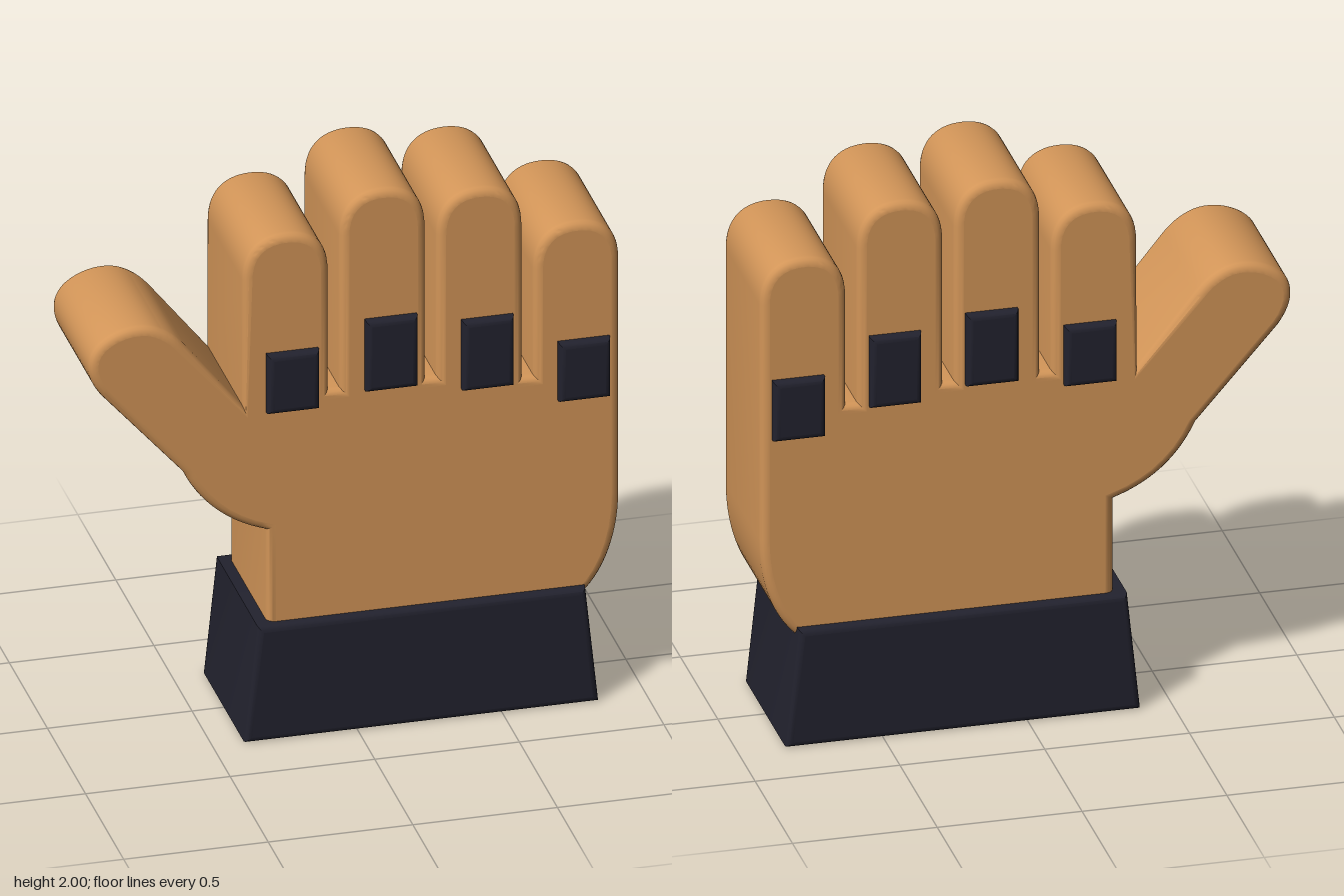
import * as THREE from 'three';
import { toCreasedNormals } from 'three/addons/utils/BufferGeometryUtils.js';

const leather = new THREE.MeshStandardMaterial({ color: 0xd29558 });
leather.name = 'tan leather';
const rubber = new THREE.MeshStandardMaterial({ color: 0x22222e });
rubber.name = 'dark rubber';

// Extrude an outline symmetrically about z = 0, with rounded front and back rims
function slab(shape, halfDepth, bevel, steps) {
  const raw = new THREE.ExtrudeGeometry(shape, {
    depth: 2 * (halfDepth - bevel), curveSegments: 14,
    bevelThickness: bevel, bevelSize: bevel, bevelOffset: -bevel, bevelSegments: steps,
  });
  raw.translate(0, 0, -(halfDepth - bevel));
  const geometry = toCreasedNormals(raw, 0.7);
  // Keep the front and back faces perfectly flat
  const p = geometry.attributes.position, n = geometry.attributes.normal;
  for (let i = 0; i < p.count; i += 3) {
    const z = p.getZ(i);
    const flat = Math.abs(z) > halfDepth - 1e-4 &&
      Math.abs(p.getZ(i + 1) - z) < 1e-5 && Math.abs(p.getZ(i + 2) - z) < 1e-5;
    if (flat) for (let k = 0; k < 3; k++) n.setXYZ(i + k, 0, 0, Math.sign(z));
  }
  return geometry;
}

function polygon(points) {
  return new THREE.Shape(points.map(([x, y]) => new THREE.Vector2(x, y)));
}

// Fingers: left x, right x, tip height, height of the web on the right
const fingers = [
  [-0.387, -0.09, 1.875, 1.27],
  [-0.052, 0.245, 2.0, 1.27],
  [0.283, 0.58, 1.96, 1.23],
  [0.618, 0.915, 1.79, 0.76],
];

function handShape() {
  const s = new THREE.Shape();
  // wrist and base of the thumb
  s.moveTo(0.785, 0.39);
  s.lineTo(-0.305, 0.39);
  s.lineTo(-0.305, 0.77);
  s.bezierCurveTo(-0.43, 0.81, -0.53, 0.89, -0.59, 1.02);
  // thumb
  s.lineTo(-0.875, 1.345);
  s.bezierCurveTo(-0.93, 1.42, -0.935, 1.49, -0.885, 1.54);
  s.bezierCurveTo(-0.83, 1.59, -0.74, 1.605, -0.68, 1.575);
  s.bezierCurveTo(-0.63, 1.55, -0.61, 1.525, -0.585, 1.495);
  s.lineTo(-0.387, 1.245);
  // fingers and the webs between them
  fingers.forEach(([a, b, top, web], i) => {
    const mid = (a + b) / 2;
    s.lineTo(a, top - 0.16);
    s.bezierCurveTo(a, top - 0.05, a + 0.06, top, mid, top);
    s.bezierCurveTo(b - 0.06, top, b, top - 0.05, b, top - 0.16);
    s.lineTo(b, web);
    if (i < 3) s.lineTo(fingers[i + 1][0], web);
  });
  // outer heel of the palm
  s.bezierCurveTo(0.915, 0.6, 0.865, 0.46, 0.785, 0.39);
  return s;
}

// Knuckle pads: left, right, bottom, top
const pads = [
  [-0.31, -0.13, 1.22, 1.44],
  [0.03, 0.21, 1.26, 1.525],
  [0.365, 0.543, 1.22, 1.48],
  [0.698, 0.877, 1.135, 1.355],
];

export function createModel() {
  const group = new THREE.Group();
  group.name = 'glove';
  const add = (name, geometry, material) => {
    const mesh = new THREE.Mesh(geometry, material);
    mesh.name = name;
    group.add(mesh);
  };

  add('hand', slab(handShape(), 0.25, 0.03, 4), leather);

  // Flared cuff
  const cuff = polygon([[-0.39, 0], [0.835, 0], [0.79, 0.43], [-0.345, 0.43]]);
  add('cuff', slab(cuff, 0.282, 0.022, 3), rubber);

  // Each pad passes through its finger and stands proud on both sides
  pads.forEach(([a, b, lo, hi], i) => {
    const pad = polygon([[a, lo], [b, lo], [b, hi], [a, hi]]);
    add(`knucklePad${i + 1}`, slab(pad, 0.282, 0.02, 3), rubber);
  });

  return group;
}
